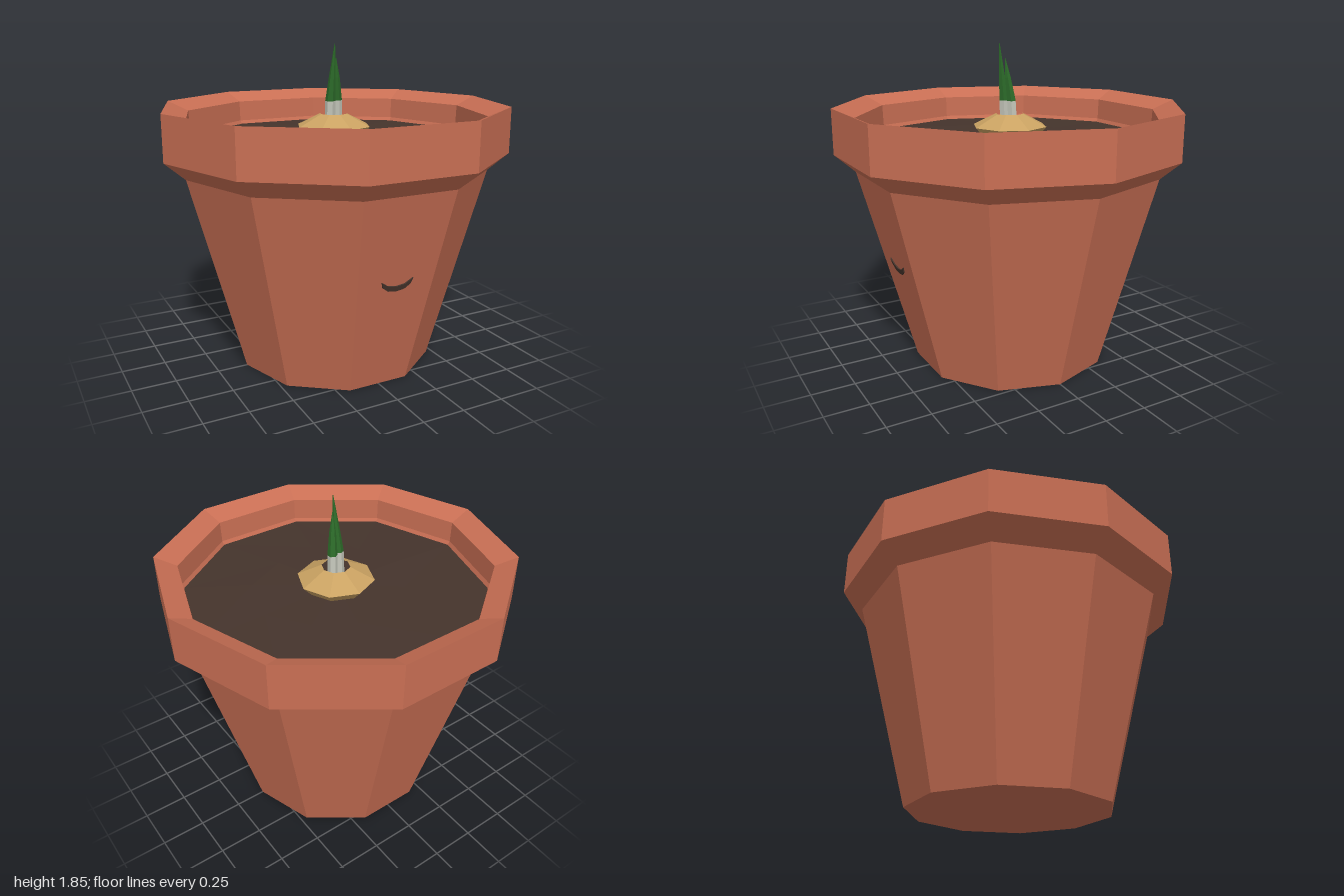
import * as THREE from 'three';

const mat = (name, color) => {
  const m = new THREE.MeshStandardMaterial({ color });
  m.name = name;
  return m;
};

// Faceted solid of revolution, with corners on the x axis
function facetedLathe(points, sides) {
  const pts = points.map(([r, y]) => new THREE.Vector2(r, y));
  return new THREE.LatheGeometry(pts, sides, Math.PI / 2);
}

function flat(geometry) {
  const g = geometry.index ? geometry.toNonIndexed() : geometry;
  g.computeVertexNormals();
  return g;
}

export function createModel() {
  const group = new THREE.Group();
  const terracotta = mat('terracotta', 0xc96f54);
  const earth = mat('dark earth', 0x45342c);
  const bulbSkin = mat('golden bulb skin', 0xcaa262);
  const leafGreen = mat('leaf green', 0x2c6a29);
  const paleStem = mat('pale stem', 0xc4c6ba);

  const add = (name, geometry, material) => {
    const mesh = new THREE.Mesh(flat(geometry), material);
    mesh.name = name;
    group.add(mesh);
    return mesh;
  };

  // Ten-sided pot: base, tapered wall, flared rim, sloping lip and inside
  add('pot', facetedLathe([
    [0, 0], [0.575, 0], [0.885, 1.15], [1, 1.25], [1, 1.51],
    [0.875, 1.455], [0.87, 1.33], [0.845, 1.28], [0.8, 1.1], [0, 1.1],
  ], 10), terracotta);

  // Slightly uneven soil mound
  const soil = facetedLathe([[0.855, 1.24], [0.855, 1.31], [0.43, 1.325], [0, 1.335]], 10);
  const p = soil.attributes.position;
  for (let i = 0; i < p.count; i++) {
    const x = p.getX(i), z = p.getZ(i), r = Math.hypot(x, z);
    if (r > 0.1 && r < 0.8) {
      const k = 1 + 0.1 * Math.sin(x * 17 + z * 9);
      p.setXYZ(i, x * k, p.getY(i) + 0.008 * Math.sin(x * 11 - z * 13), z * k);
    }
  }
  add('soil', soil, earth);

  // Eight-sided bulb, open at the top
  add('bulb', facetedLathe([[0.15, 1.31], [0.218, 1.385], [0.08, 1.455]], 8), bulbSkin);

  // Two pointed shoots: pale at the base, green above, leaning to the tip
  const shoot = (side, base, tip, radius) => {
    const section = (name, y0, y1, r0, r1, material) => {
      const g = new THREE.CylinderGeometry(r1, r0, y1 - y0, 6, 1, true);
      g.translate(0, (y0 + y1) / 2, 0);
      const pos = g.attributes.position;
      for (let i = 0; i < pos.count; i++) {
        const t = Math.max(0, (pos.getY(i) - 1.45) / (tip[1] - 1.45));
        pos.setX(i, pos.getX(i) + base[0] + (tip[0] - base[0]) * t);
        pos.setZ(i, pos.getZ(i) + base[1] + (tip[2] - base[1]) * t);
      }
      add(side + name, g, material);
    };
    section('ShootBase', 1.33, 1.53, radius, radius, paleStem);
    section('ShootMiddle', 1.53, 1.66, radius, radius * 0.66, leafGreen);
    section('ShootTip', 1.66, tip[1], radius * 0.66, 0.002, leafGreen);
  };
  shoot('right', [-0.033, 0.012], [-0.02, 1.85, 0.055], 0.03);
  shoot('left', [0.03, -0.008], [0, 1.77, 0.03], 0.028);

  // Thin smile plate on the sloping front face
  const smile = new THREE.Shape();
  smile.moveTo(-0.095, 0.035);
  [[-0.085, 0.002], [-0.05, -0.025], [0, -0.033], [0.05, -0.025], [0.085, 0.002],
    [0.095, 0.035], [0.05, 0.005], [0, -0.003], [-0.05, 0.005]]
    .forEach(([x, y]) => smile.lineTo(x, y));
  smile.closePath();
  const smileMesh = add('smile',
    new THREE.ExtrudeGeometry(smile, { depth: 0.007, bevelEnabled: false }), earth);
  const slope = (0.885 - 0.575) * Math.cos(Math.PI / 10) / 1.15;
  smileMesh.position.set(0, 0.64, 0.575 * Math.cos(Math.PI / 10) + 0.64 * slope);
  smileMesh.rotation.x = Math.atan(slope);

  return group;
}
